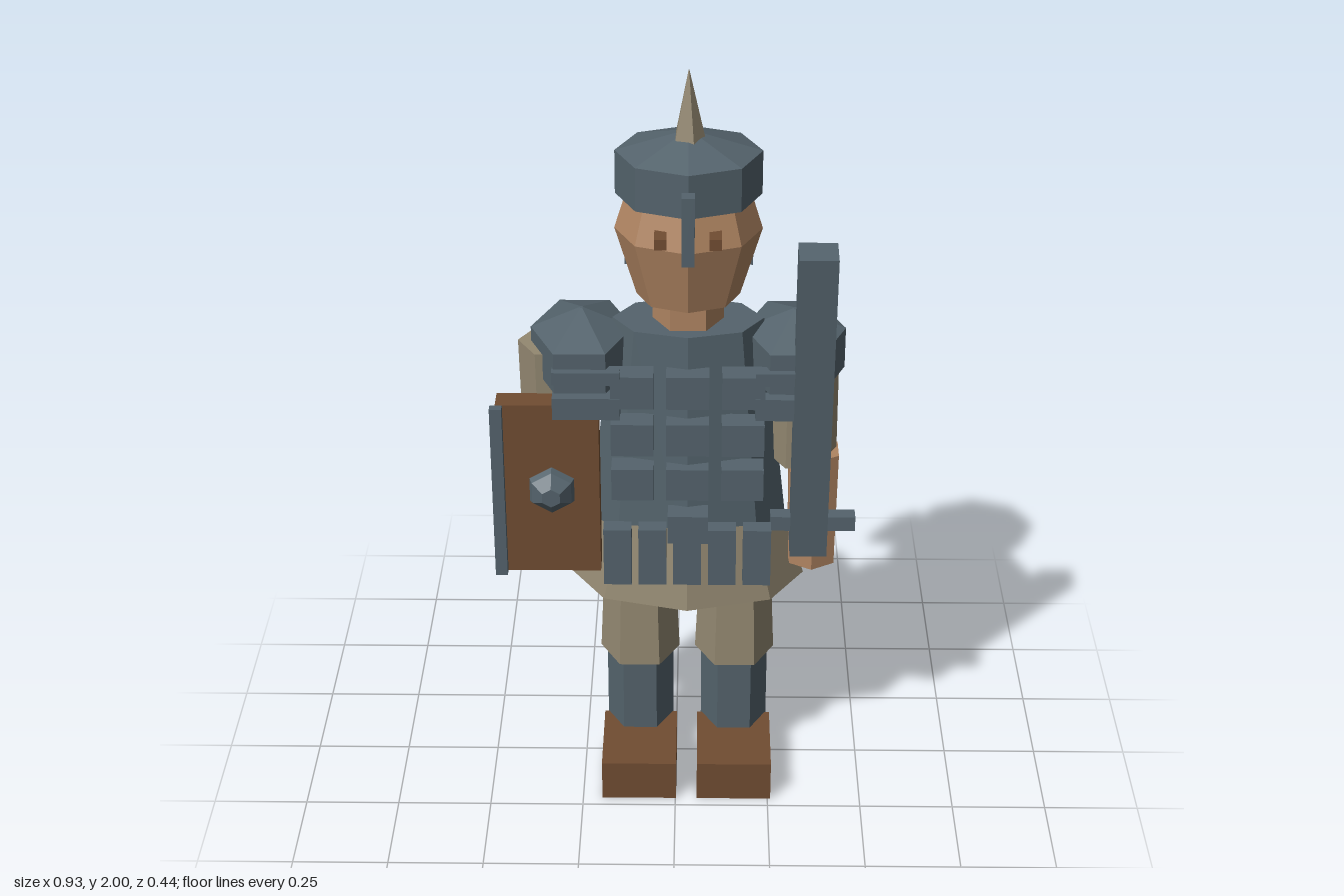
import * as THREE from 'three';

const mat = (name, color) => new THREE.MeshStandardMaterial({ name, color });

export function createModel() {
  const model = new THREE.Group();
  model.name = 'armouredFootSoldier';
  const steel = mat('steel', 0x54636c);
  const cloth = mat('cloth', 0x938871);
  const skin = mat('skin', 0xb08562);
  const leather = mat('leather', 0x714d32);
  const CX = 0.03, CZ = -0.02; // body axis

  const add = (name, geo, material, x, y, z) => {
    const mesh = new THREE.Mesh(geo, material);
    mesh.name = name;
    mesh.position.set(x, y, z);
    model.add(mesh);
    return mesh;
  };

  // Box given by its limits on each axis
  const box = (name, material, [x0, x1], [y0, y1], [z0, z1]) =>
    add(name, new THREE.BoxGeometry(x1 - x0, y1 - y0, z1 - z0), material,
      (x0 + x1) / 2, (y0 + y1) / 2, (z0 + z1) / 2);

  // Faceted solid from [radius, height] rings, capped at both ends; depth scales z
  const facets = (name, material, rings, sides, x, z, depth = 1, start = 0) => {
    const pts = [[0, rings[0][1]], ...rings, [0, rings.at(-1)[1]]]
      .map(([r, y]) => new THREE.Vector2(r, y));
    const geo = new THREE.LatheGeometry(pts, sides, start).scale(1, 1, depth).toNonIndexed();
    geo.computeVertexNormals();
    return add(name, geo, material, x, 0, z);
  };
  const HEX = Math.PI / 6; // turns hexagons so corners point sideways

  // Legs and boots
  for (const s of [-1, 1]) {
    const x = CX + s * 0.128;
    box('boot', leather, [x - 0.1, x + 0.1], [0, 0.115], [-0.02, 0.22]);
    facets('greave', steel, [[0.09, 0.08], [0.09, 0.36]], 6, x, -0.024, 1, HEX);
    facets('trouserLeg', cloth, [[0.107, 0.34], [0.09, 0.72]], 6, x, CZ, 1.04, HEX);
  }

  // Skirt, breastplate and neck
  facets('skirt', cloth, [[0.31, 0.58], [0.24, 0.82]], 8, CX, CZ, 0.63);
  facets('breastplate', steel, [[0.262, 0.72], [0.192, 1.34]], 8, CX, CZ, 0.61);
  facets('neck', skin, [[0.09, 1.3], [0.09, 1.45]], 6, CX, CZ, 1, HEX);

  // Rows of armour plates on the chest
  for (const y of [0.945, 1.075, 1.21])
    for (const i of [-1, 0, 1]) {
      const x = CX + i * 0.14;
      box('chestPlate', steel, [x - 0.054, x + 0.054], [y - 0.045, y + 0.045], [0.085, 0.148]);
    }
  box('buckle', steel, [-0.02, 0.083], [0.79, 0.87], [0.12, 0.18]);

  // Shoulder bands beside the chest
  for (const s of [-1, 1])
    for (const [y, h] of [[1.25, 0.035], [1.165, 0.06]]) {
      const a = CX + s * 0.17, b = CX + s * 0.34;
      box('shoulderBand', steel, [Math.min(a, b), Math.max(a, b)], [y - h / 2, y + h / 2], [0.11, 0.15]);
    }

  // Hanging straps below the belt
  for (let i = -2; i <= 2; i++) {
    const x = CX + i * 0.09;
    box('hangingStrap', steel, [x - 0.036, x + 0.036], [0.655, 0.82], [0.12, 0.165]);
  }

  // Shoulder guards
  for (const s of [-1, 1])
    facets('shoulderGuard', steel, [[0.13, 1.2], [0.13, 1.31], [0.005, 1.365]], 6,
      CX + s * 0.27, -0.024, 1.37, HEX);

  // Arms
  facets('leftSleeve', cloth, [[0.09, 0.94], [0.088, 1.27]], 6, 0.328, -0.032, 1.06, HEX);
  facets('leftForearm', skin, [[0.07, 0.63], [0.074, 0.96]], 6, 0.358, CZ);
  facets('rightSleeve', cloth, [[0.09, 0.94], [0.096, 1.27]], 6, -0.308, -0.028, 1, HEX);
  facets('rightForearm', skin, [[0.076, 0.63], [0.076, 0.96]], 6, -0.292, CZ);

  // Head and eyes
  facets('head', skin, [[0.13, 1.41], [0.184, 1.59], [0.15, 1.7]], 8, CX, -0.015, 0.87);
  for (const s of [-1, 1]) {
    const x = CX + s * 0.067;
    box('eye', leather, [x - 0.015, x + 0.015], [1.608, 1.636], [0.09, 0.16]);
  }

  // Helmet with spike, nose bar, side bars and neck guard
  facets('helmet', steel, [[0.182, 1.675], [0.182, 1.788], [0.01, 1.84]], 8, CX, -0.033, 0.89);
  facets('helmetSpike', cloth, [[0.044, 1.81], [0.001, 2]], 5, CX, CZ, 1, Math.PI / 2);
  box('noseBar', steel, [0.014, 0.046], [1.57, 1.75], [0.14, 0.175]);
  for (const s of [-1, 1]) {
    const x = CX + s * 0.15;
    box('helmetSideBar', steel, [x - 0.015, x + 0.015], [1.545, 1.7], [-0.17, -0.12]);
  }
  box('neckGuard', steel, [-0.135, 0.195], [1.42, 1.62], [-0.2, -0.163]);

  // Sword, leaning forward
  const blade = box('swordBlade', steel, [0.297, 0.393], [0.712, 1.608], [0.07, 0.156]);
  blade.rotation.x = 0.1;
  box('swordGuard', steel, [0.245, 0.465], [0.785, 0.826], [0.064, 0.105]);

  // Shield with rim and boss
  box('shield', leather, [-0.455, -0.195], [0.675, 1.165], [0.065, 0.13]);
  box('shieldRim', steel, [-0.468, -0.437], [0.675, 1.165], [0.13, 0.155]);
  const boss = facets('shieldBoss', steel, [[0.066, 0], [0.058, 0.018], [0.026, 0.046]], 6, -0.317, 0.13);
  boss.position.y = 0.92;
  boss.rotation.x = Math.PI / 2;

  return model;
}
